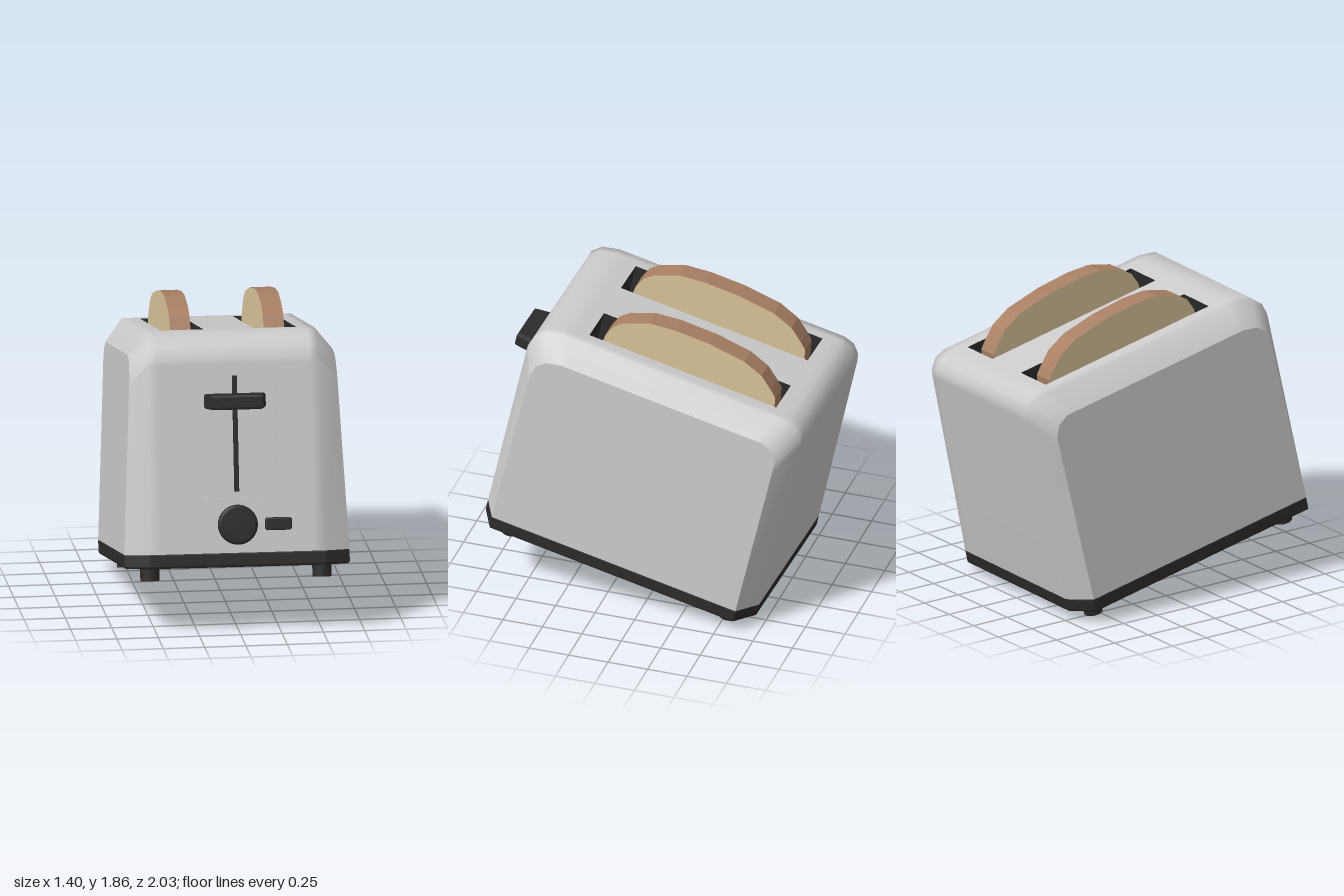
import * as THREE from 'three';

const mat = (color, side = THREE.FrontSide) => new THREE.MeshStandardMaterial({ color, side });
const grey = mat(0xcccccc), dark = mat(0x2c2c2c), crust = mat(0xa87f63), crumb = mat(0xdcc59b);

// Side profile of the shell: [z, y] of the outer loop, then [z, y] of the inset side-panel loop
const profile = [
  [1.08, 0.29, 1.0, 0.29], [1.08, 1.43, 1.0, 1.3], [1.078, 1.46, 0.998, 1.34],
  [1.058, 1.53, 0.975, 1.415], [1.0, 1.592, 0.925, 1.463], [0.89, 1.62, 0.83, 1.485],
  [0.83, 1.62, 0.79, 1.485], [-0.52, 1.62, -0.44, 1.485], [-0.58, 1.62, -0.49, 1.485],
  [-0.645, 1.595, -0.56, 1.445], [-0.685, 1.535, -0.59, 1.375], [-0.69, 1.48, -0.59, 1.31],
  [-0.69, 0.29, -0.59, 0.29],
];
const FRONT_ROW = 0, TOP_ROW = 6, INNER = 0.46;
const outerX = (y) => 0.53 - 0.015 * (y - 0.29);
const panelX = (y) => 0.68 - 0.05 * (y - 0.29);

function add(parent, name, geometry, material, x = 0, y = 0, z = 0) {
  const mesh = new THREE.Mesh(geometry, material);
  mesh.name = name;
  mesh.position.set(x, y, z);
  parent.add(mesh);
  return mesh;
}

function buffer(positions, index) {
  const g = new THREE.BufferGeometry();
  g.setAttribute('position', new THREE.Float32BufferAttribute(positions, 3));
  g.setIndex(index);
  g.computeVertexNormals();
  return g;
}

// Smooth wrap over front, top and back; the front and top centres are left open for plates
function wrapGeometry() {
  const pos = [], idx = [];
  for (const [z, y, pz, py] of profile) {
    const a = outerX(y), b = panelX(py);
    pos.push(-b, py, pz, -a, y, z, -INNER, y, z, INNER, y, z, a, y, z, b, py, pz);
  }
  for (let i = 0; i < profile.length - 1; i++) {
    for (let j = 0; j < 5; j++) {
      if (j === 2 && (i === FRONT_ROW || i === TOP_ROW)) continue;
      const a = i * 6 + j, d = a + 6;
      idx.push(a, a + 1, d + 1, a, d + 1, d);
    }
  }
  return buffer(pos, idx);
}

function sidePanelGeometry(side) {
  const pos = [], idx = [];
  for (const [, , z, y] of profile) pos.push(side * panelX(y), y, z);
  for (let i = 1; i < profile.length - 1; i++) {
    if (side > 0) idx.push(0, i + 1, i);
    else idx.push(0, i, i + 1);
  }
  return buffer(pos, idx);
}

// Closed outline from corner pairs
const outline = (Type, pts) => new Type(pts.map(([x, y]) => new THREE.Vector2(x, y)));
const rect = (x0, y0, x1, y1) => [[x0, y0], [x1, y0], [x1, y1], [x0, y1]];

function plate(frame, holes) {
  const s = outline(THREE.Shape, frame);
  s.holes = holes.map((h) => outline(THREE.Path, h));
  return new THREE.ShapeGeometry(s);
}

// Inward-facing box, open on +z at z = 0
function pocket(w, h, d) {
  const g = new THREE.BoxGeometry(w, h, d).translate(0, 0, -d / 2);
  const idx = Array.from(g.index.array);
  idx.splice(24, 6);
  g.setIndex(idx.reverse());
  g.computeVertexNormals();
  return g;
}

function bevelled(pts, depth, bevel) {
  return new THREE.ExtrudeGeometry(outline(THREE.Shape, pts), {
    depth: depth - 2 * bevel, bevelEnabled: true, bevelSize: bevel, bevelThickness: bevel,
    bevelOffset: -bevel, bevelSegments: 2,
  }).translate(0, 0, bevel);
}

function buildBody() {
  const body = new THREE.Group();
  body.name = 'toaster';

  // Shell
  add(body, 'shell', wrapGeometry(), grey);
  add(body, 'leftSidePanel', sidePanelGeometry(1), grey);
  add(body, 'rightSidePanel', sidePanelGeometry(-1), grey);

  // Top plate with two bread slots
  const slots = [-0.28, 0.28].map((x) => rect(x - 0.13, -0.75, x + 0.13, 0.47));
  const top = plate(rect(-INNER, -0.83, INNER, 0.52), slots).rotateX(-Math.PI / 2);
  add(body, 'topPlate', top, grey, 0, 1.62, 0);
  for (const x of [-0.28, 0.28]) {
    add(body, 'breadSlot', pocket(0.26, 1.22, 0.7).rotateX(-Math.PI / 2), dark, x, 1.62, 0.14);
  }

  // Front plate with a shallow recess for the lever track
  const recess = rect(-0.245, 0.62, 0.245, 1.415);
  add(body, 'frontPlate', plate(rect(-INNER, 0.29, INNER, 1.43), [recess]), grey, 0, 0, 1.08);
  add(body, 'leverRecess', pocket(0.49, 0.795, 0.012), grey, 0, 1.0175, 1.08);
  add(body, 'leverTrack', new THREE.BoxGeometry(0.03, 0.7, 0.01), dark, 0, 1.007, 1.067);

  // Lever: tapered grip, narrower at its front
  const grip = bevelled([[-0.19, -1.05], [-0.155, -1.235], [0.155, -1.235], [0.19, -1.05]], 0.09, 0.015);
  add(body, 'lever', grip.rotateX(-Math.PI / 2), dark, 0, 1.16, 0);

  // Browning knob with a rounded rim
  const knob = new THREE.LatheGeometry(
    [[0.12, 0], [0.12, 0.025], [0.113, 0.036], [0.1, 0.04], [0, 0.04]].map(([r, y]) => new THREE.Vector2(r, y)), 32);
  add(body, 'knob', knob.rotateX(Math.PI / 2), dark, 0, 0.46, 1.08);

  // Cancel button
  const button = bevelled([[-0.08, -0.028], [-0.07, -0.038], [0.07, -0.038], [0.08, -0.028],
    [0.08, 0.028], [0.07, 0.038], [-0.07, 0.038], [-0.08, 0.028]], 0.04, 0.008);
  add(body, 'button', button, dark, 0.245, 0.46, 1.07);

  // Base and feet
  const base = bevelled([[-0.53, -1.08], [0.53, -1.08], [0.68, -1.0], [0.68, 0.59],
    [0.53, 0.69], [-0.53, 0.69], [-0.68, 0.59], [-0.68, -1.0]], 0.095, 0.015);
  add(body, 'base', base.rotateX(-Math.PI / 2), dark, 0, 0.204, 0);
  for (const x of [-0.52, 0.52]) {
    for (const z of [-0.515, 0.905]) {
      add(body, 'foot', new THREE.CylinderGeometry(0.06, 0.057, 0.1, 20), dark, x, 0.175, z);
    }
  }
  return body;
}

// Bread slice, outline in the (z, y) plane, extruded along x
function sliceGeometry() {
  const s = outline(THREE.Shape, [[0.63, 0.95], [0.66, 1.3], [0.69, 1.5], [0.676, 1.613], [0.642, 1.692],
    [0.581, 1.746], [0.431, 1.809], [0.271, 1.826], [0.046, 1.821], [-0.186, 1.789], [-0.311, 1.734],
    [-0.388, 1.659], [-0.425, 1.615], [-0.44, 1.5], [-0.41, 1.3], [-0.38, 0.95]]);
  return new THREE.ExtrudeGeometry(s, { depth: 0.124, bevelEnabled: false })
    .translate(0, 0, -0.062).rotateY(-Math.PI / 2);
}

export function createModel() {
  const model = new THREE.Group();
  model.name = 'toasterWithBread';
  const tilt = -0.213;

  // The toaster leans back on its rear feet, turned slightly
  const body = buildBody();
  body.rotation.set(tilt, -0.023, 0, 'YXZ');
  body.position.x = 0.008;
  model.add(body);

  // Two slices, leaning with the toaster
  const bread = new THREE.Group();
  bread.name = 'bread';
  bread.rotation.x = tilt;
  for (const x of [-0.281, 0.285]) add(bread, 'slice', sliceGeometry(), [crumb, crust], x);
  model.add(bread);
  return model;
}
